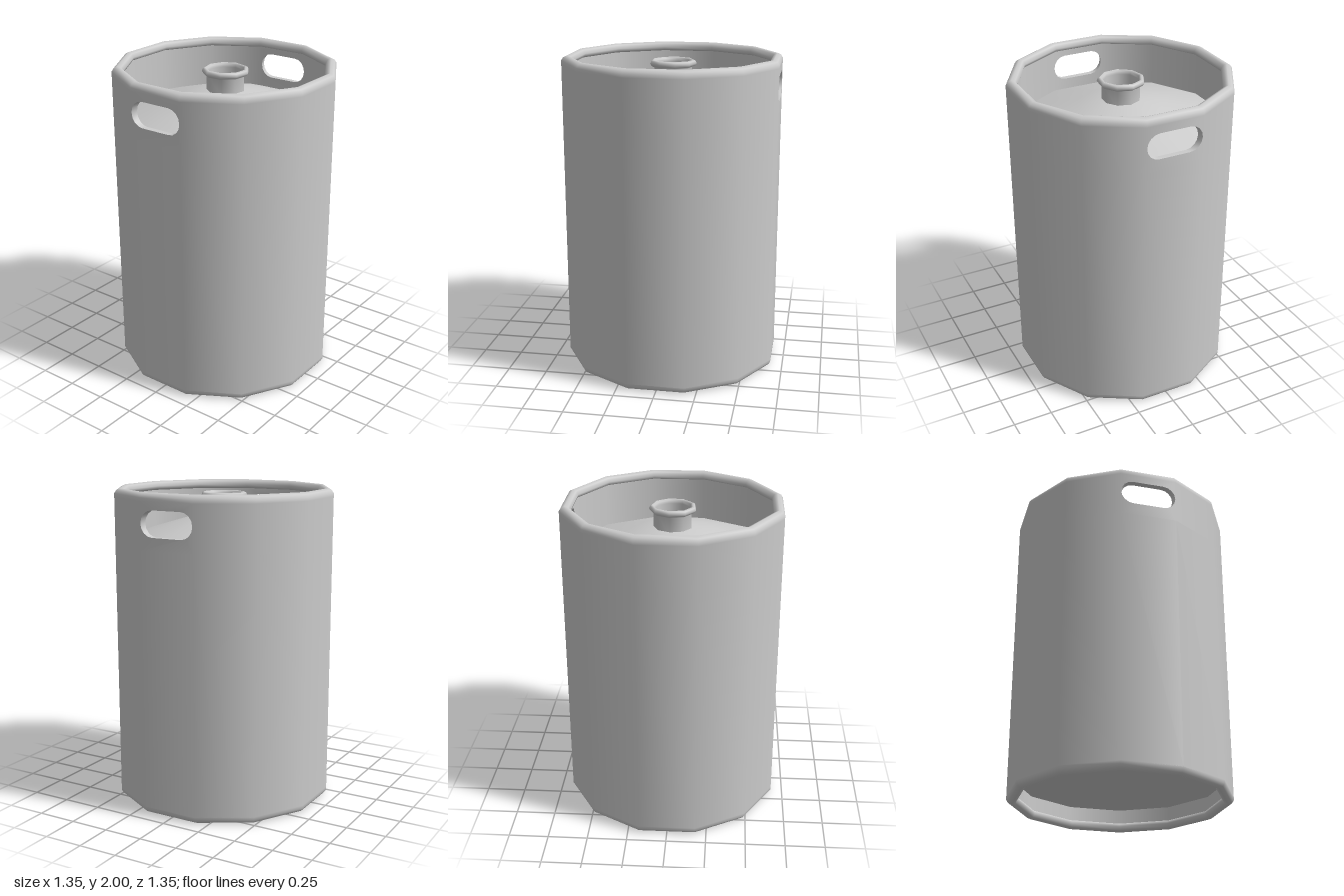
import * as THREE from 'three';

const SIDES = 12, STEP = Math.PI * 2 / SIDES, HALF = STEP / 2;
const OUTER = 0.674, INNER = 0.637;      // wall distances, measured to the flats
const SPLIT = 1.66, WALL_TOP = 1.95;     // height band that holds the hand holes
const material = new THREE.MeshStandardMaterial({ color: 0xcccccc, side: THREE.DoubleSide });

function add(parent, name, geometry) {
  const mesh = new THREE.Mesh(geometry, material);
  mesh.name = name;
  parent.add(mesh);
  return mesh;
}

// Twelve-sided turning; profile is [distance to flat, y], with flats facing the axes
function turn(profile, start = HALF, count = SIDES) {
  const points = profile.map(([a, y]) => new THREE.Vector2(a / Math.cos(HALF), y));
  return new THREE.LatheGeometry(points, count, start, count * STEP);
}

// Stadium outline of the hand hole
function holePoints(scale) {
  const r = 0.08, w = 0.178, cy = 1.82, points = [];
  for (const side of [1, -1]) {
    for (let i = 0; i <= 8; i++) {
      const a = -Math.PI / 2 + Math.PI * i / 8;
      points.push(new THREE.Vector2(side * (w - r + r * Math.cos(a)) * scale, cy + side * r * Math.sin(a)));
    }
  }
  return points;
}

// One flat of the wall with the hole cut out and radially smoothed normals
function holePanel(apothem, facing) {
  const w = apothem * Math.tan(HALF);
  const shape = new THREE.Shape([
    new THREE.Vector2(-w, SPLIT), new THREE.Vector2(w, SPLIT),
    new THREE.Vector2(w, WALL_TOP), new THREE.Vector2(-w, WALL_TOP)]);
  shape.holes.push(new THREE.Path(holePoints(apothem / OUTER)));
  const geo = new THREE.ShapeGeometry(shape);
  if (facing < 0) {
    const index = geo.index.array;
    for (let i = 0; i < index.length; i += 3) [index[i], index[i + 1]] = [index[i + 1], index[i]];
  }
  geo.translate(0, 0, apothem);
  const p = geo.attributes.position, n = new THREE.Vector3();
  for (let i = 0; i < p.count; i++) {
    n.set(p.getX(i), 0, p.getZ(i)).normalize().multiplyScalar(facing);
    geo.attributes.normal.setXYZ(i, n.x, n.y, n.z);
  }
  return geo;
}

// Edge of the hand hole through the wall thickness
function holeEdge() {
  const outer = holePoints(1), inner = holePoints(INNER / OUTER), n = outer.length;
  const positions = [], index = [];
  for (let i = 0; i < n; i++) {
    positions.push(outer[i].x, outer[i].y, OUTER, inner[i].x, inner[i].y, INNER);
    const a = 2 * i, b = 2 * ((i + 1) % n);
    index.push(a, b, a + 1, b, b + 1, a + 1);
  }
  const geo = new THREE.BufferGeometry();
  geo.setAttribute('position', new THREE.Float32BufferAttribute(positions, 3));
  geo.setIndex(index);
  geo.computeVertexNormals();
  return geo;
}

export function createModel() {
  const keg = new THREE.Group();
  keg.name = 'keg';

  // Body wall below the hand holes
  add(keg, 'body', turn([[OUTER, 0.045], [OUTER, SPLIT]]));

  // Upper collar: five plain flats per side, a holed flat front and back
  for (const [name, angle] of [['front', 0], ['back', Math.PI]]) {
    const half = new THREE.Group();
    half.name = name + 'Collar';
    half.rotation.y = angle;
    add(half, 'collarOuterWall', turn([[OUTER, SPLIT], [OUTER, WALL_TOP]], HALF, 5));
    add(half, 'collarInnerWall', turn([[INNER, WALL_TOP], [INNER, SPLIT]], HALF, 5));
    add(half, 'handHoleOuterPanel', holePanel(OUTER, 1));
    add(half, 'handHoleInnerPanel', holePanel(INNER, -1));
    add(half, 'handHoleEdge', holeEdge());
    keg.add(half);
  }

  // Rolled rims at top and bottom
  const roll = [[OUTER, 0.05], [OUTER, 0.03], [0.662, 0.011], [0.64, 0],
    [0.619, 0.009], [0.607, 0.032], [0.615, 0.052], [INNER, 0.06]];
  add(keg, 'topRim', turn(roll.map(([a, d]) => [a, 2 - d])));
  add(keg, 'bottomRim', turn(roll.slice().reverse()));

  // Recessed underside
  add(keg, 'footInnerWall', turn([[INNER, 0.15], [INNER, 0.05]]));
  add(keg, 'bottomPlate', turn([[0, 0.15], [INNER, 0.15]]));

  // Domed lid
  add(keg, 'lid', turn([[INNER, 1.67], [0.45, 1.735], [0.25, 1.797], [0.12, 1.83], [0, 1.84]]));

  // Nine-sided open neck with a flange
  const neck = [[0.12, 1.81], [0.12, 1.92], [0.138, 1.93], [0.148, 1.945], [0.141, 1.961],
    [0.128, 1.967], [0.117, 1.957], [0.114, 1.94], [0.114, 1.82]];
  add(keg, 'neck', new THREE.LatheGeometry(neck.map(([r, y]) => new THREE.Vector2(r, y)), 9, Math.PI + 0.07));

  return keg;
}
